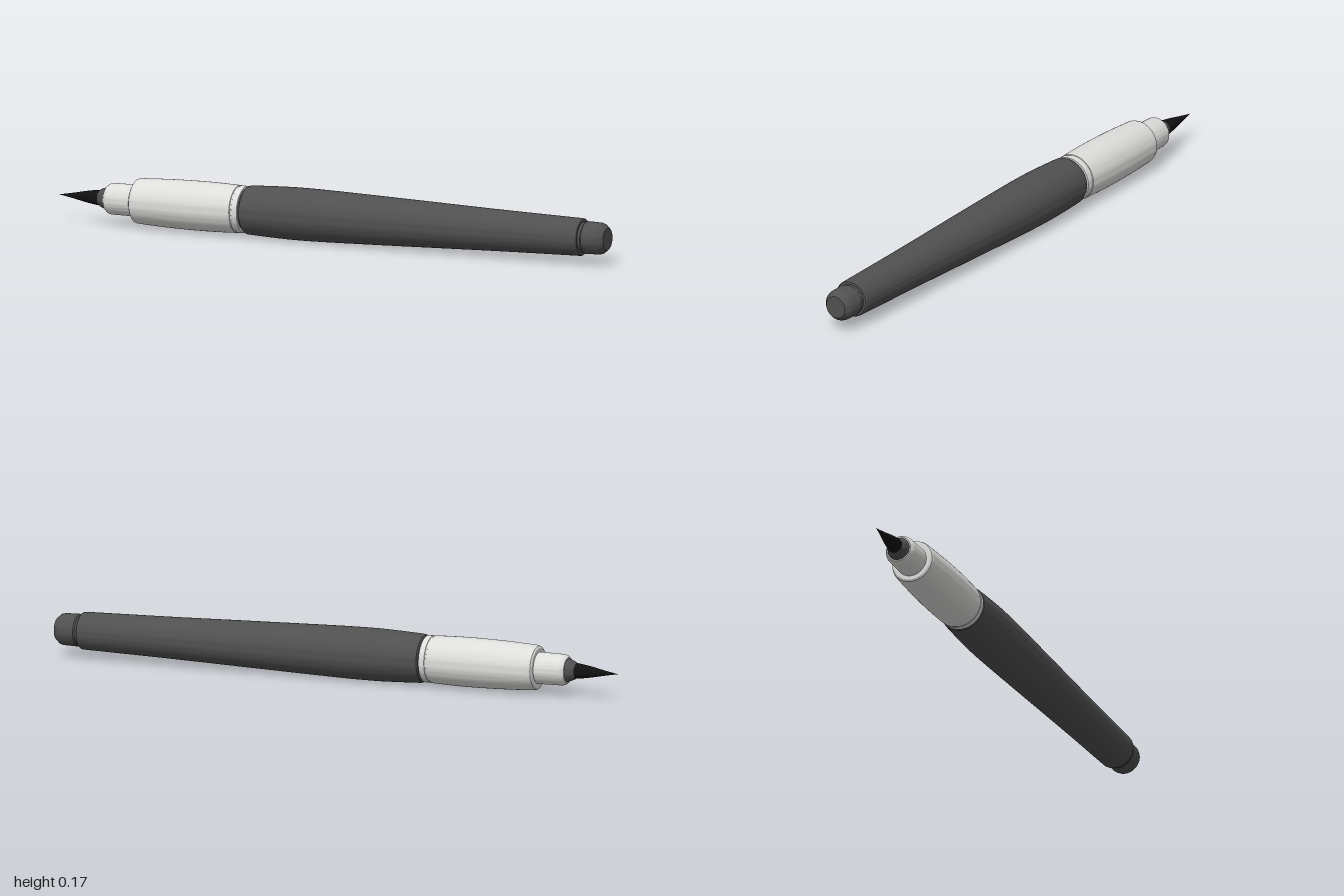
import * as THREE from 'three';
import { toCreasedNormals } from 'three/addons/utils/BufferGeometryUtils.js';

const AXIS_Y = 0.087; // height of the pen's long axis

function material(name, color) {
  const m = new THREE.MeshStandardMaterial({ color });
  m.name = name;
  return m;
}

// Turned part: profile is a list of [x along the pen, radius], tip to tail
function turned(name, mat, profile) {
  const points = profile.map(([x, r]) => new THREE.Vector2(r, x));
  const geometry = new THREE.LatheGeometry(points, 64);
  geometry.rotateZ(-Math.PI / 2);
  const mesh = new THREE.Mesh(toCreasedNormals(geometry, 0.45), mat);
  mesh.name = name;
  mesh.position.y = AXIS_Y;
  return mesh;
}

// Smooth outline through a few [x, radius] points
function smooth(points, steps) {
  const curve = new THREE.SplineCurve(points.map(([x, r]) => new THREE.Vector2(x, r)));
  return curve.getPoints(steps).map((p) => [p.x, Math.max(p.y, 0)]);
}

export function createModel() {
  const charcoal = material('charcoal plastic', 0x505050);
  const white = material('white plastic', 0xdddddb);
  const black = material('black bristle', 0x111111);

  const pen = new THREE.Group();
  pen.name = 'brushPen';

  pen.add(
    // Pointed bristle tip
    turned('bristles', black, [
      ...smooth([[-1, 0], [-0.95, 0.009], [-0.9, 0.019], [-0.86, 0.025], [-0.84, 0.026]], 16),
      [-0.84, 0],
    ]),
    // Collar that holds the bristles
    turned('bristleCollar', charcoal, [
      [-0.852, 0], [-0.852, 0.025], [-0.845, 0.03], [-0.822, 0.039], [-0.815, 0.039], [-0.815, 0],
    ]),
    // Narrow nose in front of the grip
    turned('nose', white, [
      [-0.822, 0], [-0.822, 0.043], [-0.813, 0.05], [-0.805, 0.052], [-0.71, 0.053], [-0.71, 0],
    ]),
    // Gently bulging grip with a fine groove near its rear
    turned('grip', white, [
      [-0.718, 0], [-0.718, 0.066], [-0.714, 0.072], [-0.706, 0.075],
      ...smooth([[-0.7, 0.0755], [-0.6, 0.08], [-0.5, 0.082], [-0.42, 0.0815], [-0.345, 0.079]], 16),
      [-0.344, 0.077], [-0.339, 0.077], [-0.338, 0.0785],
      [-0.318, 0.078], [-0.318, 0],
    ]),
    // Shadow gap between grip and barrel
    turned('joint', charcoal, [[-0.32, 0], [-0.32, 0.07], [-0.305, 0.07], [-0.305, 0]]),
    // Long tapering barrel
    turned('barrel', charcoal, [
      [-0.313, 0], [-0.313, 0.073], [-0.31, 0.078], [-0.303, 0.081],
      ...smooth([[-0.295, 0.0815], [-0.2, 0.0855], [-0.12, 0.087], [0, 0.0855], [0.3, 0.0775],
        [0.6, 0.069], [0.9, 0.0625]], 36),
      [0.908, 0.062], [0.912, 0.059], [0.912, 0],
    ]),
    // Stepped, chamfered end plug
    turned('endPlug', charcoal, [
      [0.9, 0], [0.9, 0.051], [0.922, 0.051], [0.926, 0.054], [0.975, 0.053],
      [0.985, 0.05], [1, 0.0375], [1, 0],
    ]),
  );
  return pen;
}
